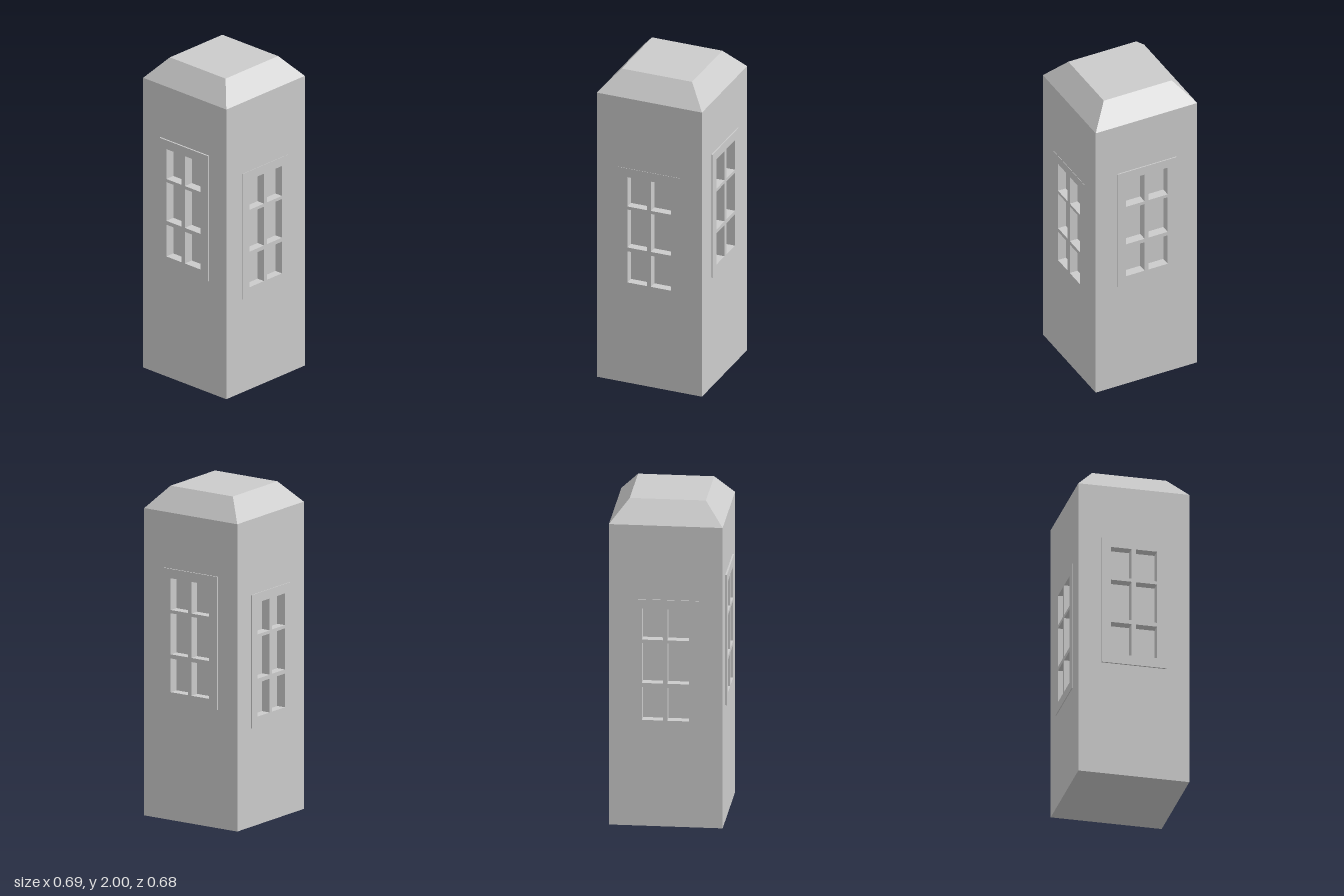
import * as THREE from 'three';

const HALF = 0.3375, EAVES = 1.87, REVEAL = 0.05;
const mat = new THREE.MeshStandardMaterial({ color: 0xcccccc, flatShading: true });

function add(parent, geometry, name) {
  const mesh = new THREE.Mesh(geometry, mat);
  mesh.name = name;
  parent.add(mesh);
  return mesh;
}

function rect(x0, x1, y0, y1, Type = THREE.Shape) {
  const r = new Type();
  r.moveTo(x0, y0);
  r.lineTo(x1, y0);
  r.lineTo(x1, y1);
  r.lineTo(x0, y1);
  r.closePath();
  return r;
}

// One wall facing +z: panel with opening, six-pane frame and recessed panes
function makeSide(name, sill, proud) {
  const side = new THREE.Group();
  side.name = name;
  const top = sill + 0.81, w = 0.197;

  const panel = rect(-HALF, HALF, 0, EAVES);
  panel.holes.push(rect(-w, w, sill, top, THREE.Path));
  add(side, new THREE.ShapeGeometry(panel), 'wall').position.z = HALF;

  const frame = rect(-w, w, sill, top);
  for (const [x0, x1] of [[-0.14, -0.016], [0.01, 0.138]]) {
    for (const [y0, y1] of [[0.06, 0.265], [0.29, 0.54], [0.56, 0.753]]) {
      frame.holes.push(rect(x0, x1, sill + y0, sill + y1, THREE.Path));
    }
  }
  const frameGeo = new THREE.ExtrudeGeometry(frame, { depth: REVEAL + proud, bevelEnabled: false });
  add(side, frameGeo, 'windowFrame').position.z = HALF - REVEAL;

  const panes = new THREE.ShapeGeometry(rect(-w, w, sill, top));
  add(side, panes, 'windowPanes').position.z = HALF - REVEAL;
  return side;
}

export function createModel() {
  const model = new THREE.Group();
  model.name = 'tower';

  // Four walls; the side windows sit higher than front and back
  const sides = [['front', 0.6, 0.002], ['leftSide', 0.72, 0.007], ['back', 0.6, 0.005], ['rightSide', 0.72, 0.01]];
  sides.forEach(([name, sill, proud], i) => {
    const side = makeSide(name, sill, proud);
    side.rotation.y = i * Math.PI / 2;
    model.add(side);
  });

  // Base
  const floor = add(model, new THREE.PlaneGeometry(2 * HALF, 2 * HALF), 'base');
  floor.rotation.x = Math.PI / 2;

  // Truncated pyramid roof
  const roofGeo = new THREE.CylinderGeometry(0.226 * Math.SQRT2, HALF * Math.SQRT2, 2 - EAVES, 4);
  const roof = add(model, roofGeo, 'roof');
  roof.rotation.y = Math.PI / 4;
  roof.position.y = (EAVES + 2) / 2;

  model.position.set(0.0025, 0, 0.0025);
  return model;
}
